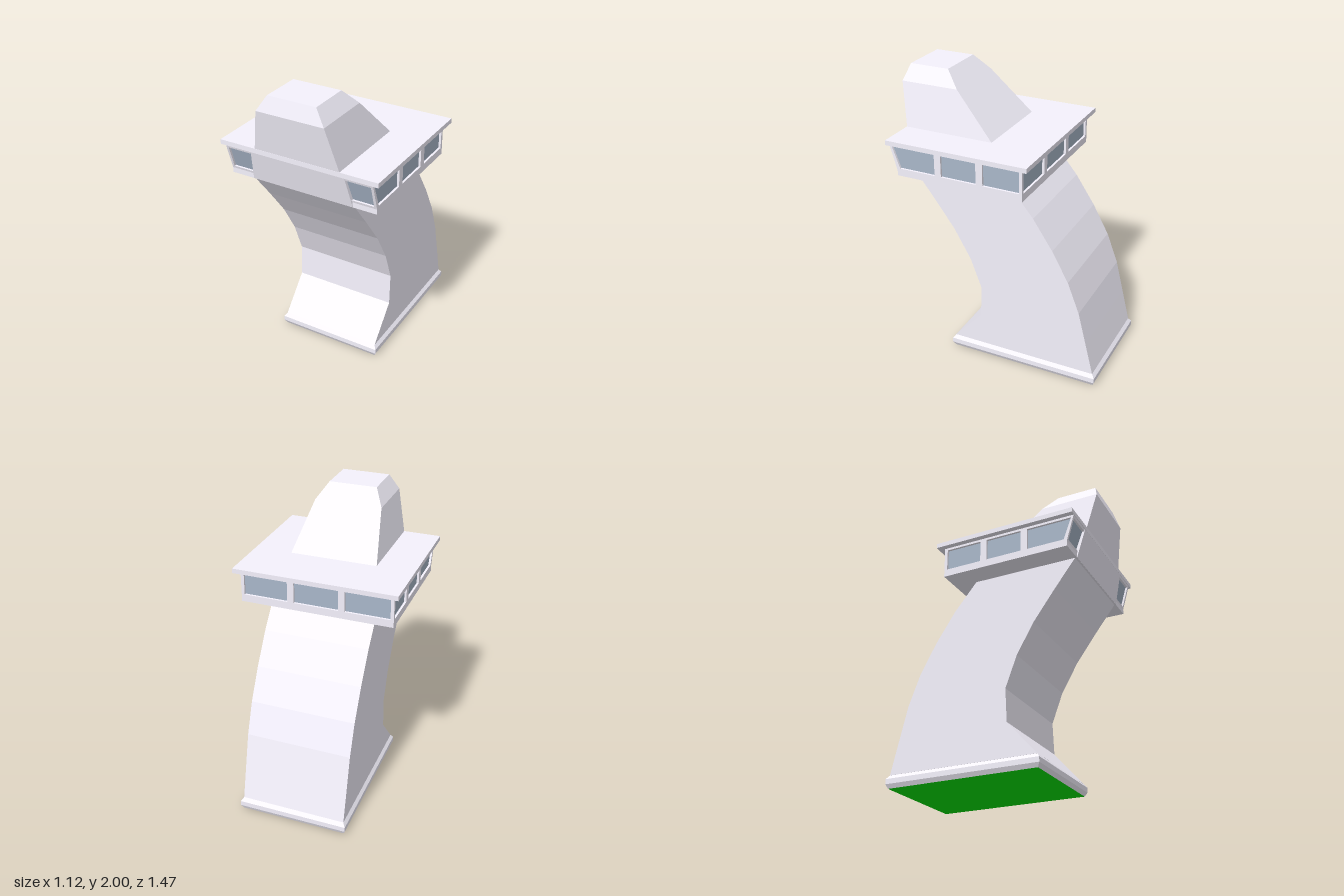
import * as THREE from 'three';

const mat = (color) => new THREE.MeshStandardMaterial({ color, flatShading: true });
const PAINT = mat(0xf5f2fd);
const GLASS = mat(0xa9b7c9);
const GREEN = mat(0x00ec00);

// Cabin dimensions
const SILL = 1.395, HEAD = 1.578, HALF = 0.523, BACK = -0.268, WALL = 0.015;
const frontZ = (y) => 0.625 + ((y - SILL) / (HEAD - SILL)) * 0.053; // raked front

// Solid through rectangular sections [y, halfWidth, backZ, frontZ]
function loft(rows, bottom = true) {
  const pos = [], index = [];
  for (const [y, x, zb, zf] of rows) pos.push(-x, y, zb, x, y, zb, x, y, zf, -x, y, zf);
  for (let r = 0; r < rows.length - 1; r++) {
    for (let i = 0; i < 4; i++) {
      const a = r * 4 + i, b = r * 4 + ((i + 1) % 4);
      index.push(a, a + 4, b + 4, a, b + 4, b);
    }
  }
  const t = (rows.length - 1) * 4;
  index.push(t, t + 3, t + 2, t, t + 2, t + 1);
  if (bottom) index.push(0, 1, 2, 0, 2, 3);
  const g = new THREE.BufferGeometry();
  g.setAttribute('position', new THREE.Float32BufferAttribute(pos, 3));
  g.setIndex(index);
  const flat = g.toNonIndexed();
  flat.computeVertexNormals();
  return flat;
}

// Thin wall with window holes, corners given as [u, y]
function wall(outline, holes) {
  const points = (list) => list.map(([u, y]) => new THREE.Vector2(u, y));
  const shape = new THREE.Shape(points(outline));
  for (const h of holes) shape.holes.push(new THREE.Path(points(h)));
  return new THREE.ExtrudeGeometry(shape, { depth: WALL, bevelEnabled: false });
}

const rect = (u0, u1, y0, y1) => [[u0, y0], [u1, y0], [u1, y1], [u0, y1]];

export function createModel() {
  const model = new THREE.Group();
  const add = (name, geometry, material = PAINT, parent = model) => {
    const mesh = new THREE.Mesh(geometry, material);
    mesh.name = name;
    parent.add(mesh);
    return mesh;
  };

  // Base moulding with its coloured underside
  add('basePlinth', loft([
    [0, 0.365, -0.722, 0.335],
    [0.028, 0.38, -0.735, 0.35],
    [0.062, 0.38, -0.735, 0.35],
    [0.089, 0.361, -0.714, 0.329],
  ], false));
  const underside = add('underside', new THREE.PlaneGeometry(0.73, 1.057), GREEN);
  underside.rotation.x = Math.PI / 2;
  underside.position.z = -0.1935;

  // Forward-leaning curved trunk
  add('trunk', loft([
    [0.088, 0.363, -0.715, 0.33],
    [0.318, 0.363, -0.658, 0.125],
    [0.543, 0.363, -0.602, 0.115],
    [0.757, 0.363, -0.52, 0.195],
    [0.965, 0.363, -0.405, 0.315],
    [1.17, 0.363, -0.268, 0.467],
    [1.365, 0.363, -0.105, 0.618],
  ]));

  // Cabin
  const cabin = new THREE.Group();
  cabin.name = 'cabin';
  model.add(cabin);

  const floor = add('cabinFloor', new THREE.BoxGeometry(2 * HALF, 0.035, 0.625 - BACK), PAINT, cabin);
  floor.position.set(0, SILL - 0.0175, (0.625 + BACK) / 2);

  const roof = add('cabinRoof', new THREE.BoxGeometry(1.12, 0.032, 0.994), PAINT, cabin);
  roof.position.set(0, 1.592, 0.184);

  add('glazing', loft([
    [SILL - 0.01, HALF - WALL, BACK + WALL, frontZ(SILL - 0.01) - WALL],
    [HEAD + 0.005, HALF - WALL, BACK + WALL, frontZ(HEAD + 0.005) - WALL],
  ]), GLASS, cabin);

  // Side walls, three windows each, the foremost raked
  const W0 = 1.411, W1 = 1.56;
  const side = wall(
    [[BACK, SILL], [frontZ(SILL), SILL], [frontZ(HEAD), HEAD], [BACK, HEAD]],
    [
      rect(-0.247, 0.005, W0, W1),
      rect(0.052, 0.301, W0, W1),
      [[0.347, W0], [0.604, W0], [0.658, W1], [0.347, W1]],
    ],
  ).rotateY(-Math.PI / 2);
  add('leftWall', side, PAINT, cabin).position.x = HALF;
  add('rightWall', side, PAINT, cabin).position.x = -HALF + WALL;

  // Back wall with three windows
  const inner = HALF - WALL;
  const backHoles = [-0.349, 0, 0.349].map((c) => rect(c - 0.152, c + 0.152, W0, W1));
  add('backWall', wall(rect(-inner, inner, SILL, HEAD), backHoles), PAINT, cabin).position.z = BACK;

  // Front wall leaned to the rake, a window at each end
  const front = wall(rect(-inner, inner, SILL, HEAD),
    [rect(-0.506, -0.32, W0, W1), rect(0.32, 0.506, W0, W1)]);
  const p = front.attributes.position;
  for (let i = 0; i < p.count; i++) p.setZ(i, p.getZ(i) - WALL + frontZ(p.getY(i)));
  front.computeVertexNormals();
  add('frontWall', front, PAINT, cabin);

  // Tapered panel joining trunk and tower between the front windows
  add('frontPanel', loft([
    [1.361, 0.36, 0.5, 0.627],
    [1.58, 0.332, 0.5, 0.681],
  ]), PAINT, cabin);

  // Tower above the roof
  add('tower', loft([
    [1.6, 0.302, 0.046, 0.678],
    [1.897, 0.235, 0.33, 0.735],
    [2, 0.168, 0.428, 0.705],
  ]));

  return model;
}
